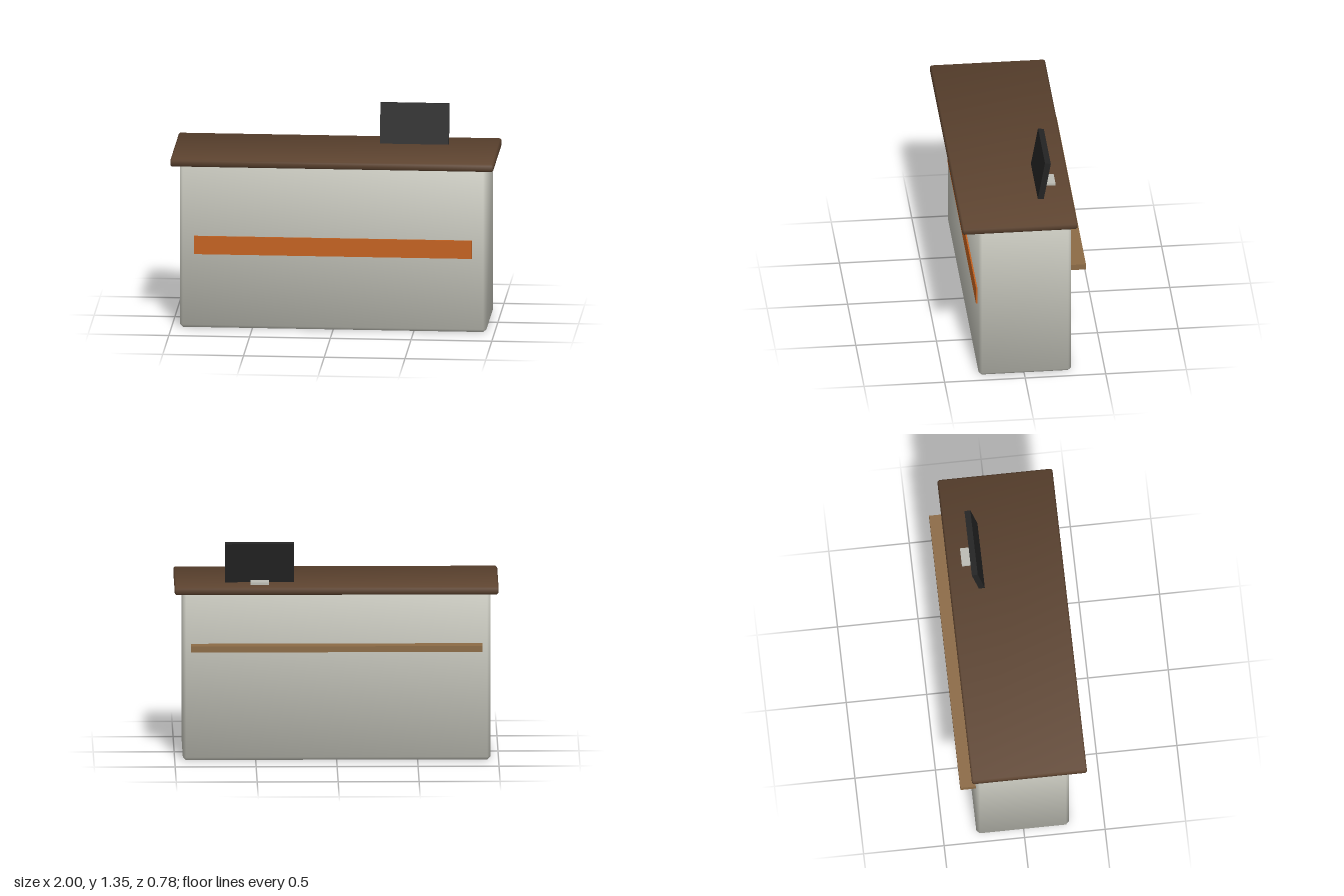
import * as THREE from 'three';
import { ConvexGeometry } from 'three/addons/geometries/ConvexGeometry.js';

function material(name, color) {
  const m = new THREE.MeshStandardMaterial({ color });
  m.name = name;
  return m;
}

// Box with single-segment chamfers and softly averaged normals
function chamferedBox(w, h, d, c) {
  const half = [w / 2, h / 2, d / 2];
  const points = [];
  for (const sx of [-1, 1]) for (const sy of [-1, 1]) for (const sz of [-1, 1]) {
    for (let axis = 0; axis < 3; axis++) {
      const p = [sx, sy, sz].map((s, i) => s * (half[i] - (i === axis ? 0 : c)));
      points.push(new THREE.Vector3(...p));
    }
  }
  const geometry = new ConvexGeometry(points);
  const pos = geometry.attributes.position;
  const normal = geometry.attributes.normal;
  const n = new THREE.Vector3();
  for (let i = 0; i < pos.count; i++) {
    const p = [pos.getX(i), pos.getY(i), pos.getZ(i)];
    // The axis whose face the corner lies on dominates the normal
    n.set(...p.map((v, k) => Math.sign(v) * (Math.abs(v) > half[k] - c / 2 ? 1 : 0.42))).normalize();
    normal.setXYZ(i, n.x, n.y, n.z);
  }
  return geometry;
}

export function createModel() {
  const group = new THREE.Group();
  group.name = 'receptionCounter';

  const panel = material('warm grey panel', 0xc6c6bc);
  const darkWood = material('dark wood', 0x5e4430);
  const lightWood = material('light wood', 0x8c6b46);
  const orange = material('orange', 0xc46220);
  const black = material('screen black', 0x232323);
  const grey = material('stand grey', 0xbcbcb4);

  function add(name, geometry, mat, x, y, z) {
    const mesh = new THREE.Mesh(geometry, mat);
    mesh.name = name;
    mesh.position.set(x, y, z);
    group.add(mesh);
    return mesh;
  }

  // Counter body and overhanging top
  add('counterBody', chamferedBox(1.9, 1.045, 0.575, 0.02), panel, 0, 0.5225, -0.005);
  add('counterTop', chamferedBox(2, 0.048, 0.714, 0.01), darkWood, 0, 1.069, 0.031);

  // Front accent stripe and rear shelf
  add('frontStripe', new THREE.BoxGeometry(1.72, 0.115, 0.009), orange, 0, 0.527, 0.2865);
  add('rearShelf', new THREE.BoxGeometry(1.8, 0.037, 0.11), lightWood, 0, 0.716, -0.333);

  // Monitor leaning back, with its foot behind
  const monitor = add('monitor', new THREE.BoxGeometry(0.426, 0.255, 0.037), black, 0.474, 1.218, -0.151);
  monitor.rotation.x = -0.175;
  add('monitorFoot', new THREE.BoxGeometry(0.115, 0.015, 0.09), grey, 0.474, 1.1, -0.191);

  return group;
}
